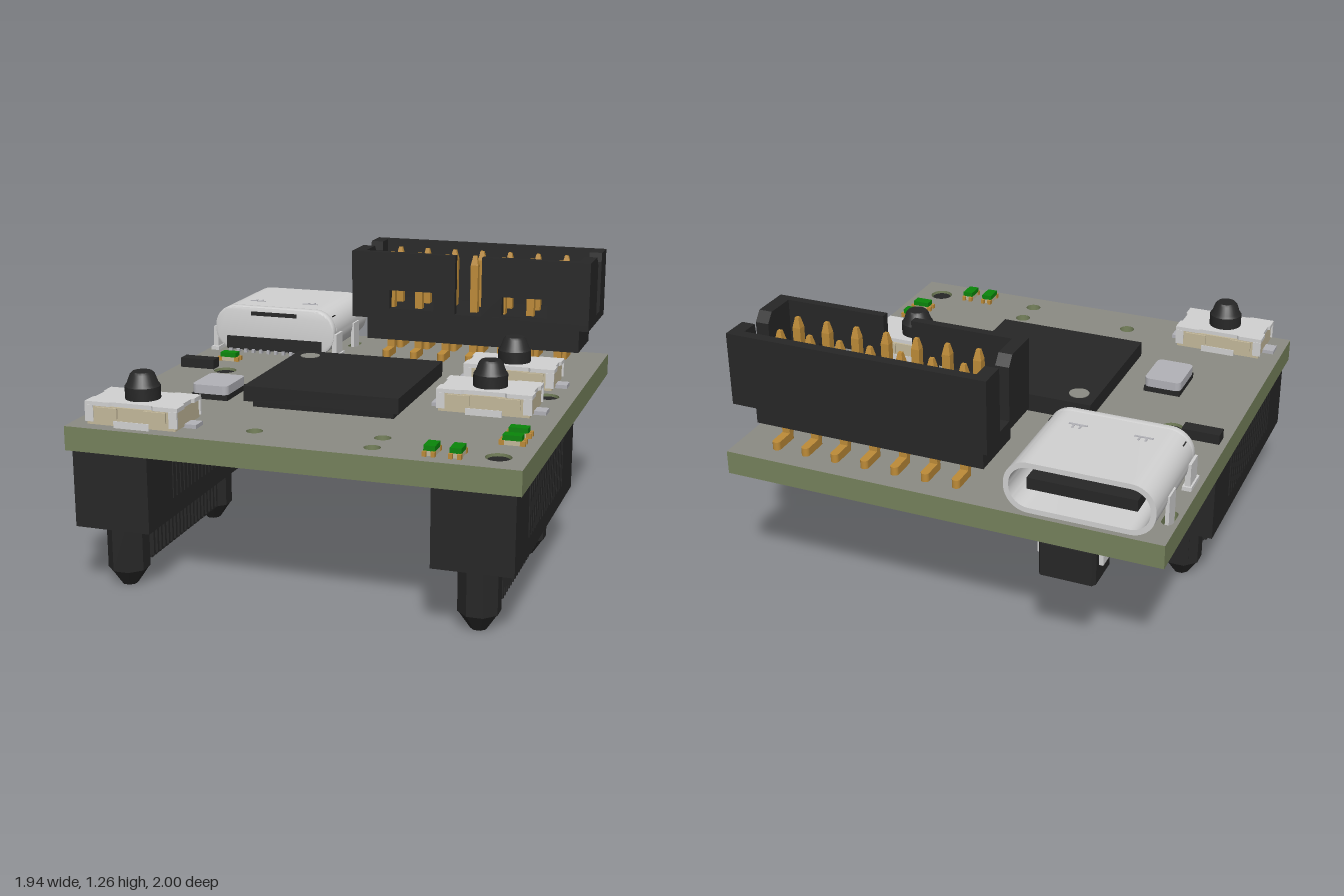
import * as THREE from 'three';
import { toCreasedNormals } from 'three/addons/utils/BufferGeometryUtils.js';

const mat = (name, color) => {
  const m = new THREE.MeshStandardMaterial({ color });
  m.name = name;
  return m;
};

export function createModel() {
  const M = {
    board: mat('boardGrey', 0x8c8c84), edge: mat('boardEdgeOlive', 0x76825c),
    black: mat('blackPlastic', 0x272727), metal: mat('lightMetal', 0xd2d2d2),
    gold: mat('gold', 0xbd8b38), beige: mat('beigePlastic', 0xc4b99b),
    green: mat('greenLens', 0x0a860a), grey: mat('leadGrey', 0xb2b2b8),
  };
  const root = new THREE.Group();
  const group = (name, parent = root, x = 0, y = 0, z = 0) => {
    const g = new THREE.Group();
    g.name = name;
    g.position.set(x, y, z);
    parent.add(g);
    return g;
  };
  const add = (p, name, geo, m) => {
    const o = new THREE.Mesh(geo, m);
    o.name = name;
    p.add(o);
    return o;
  };
  // box given by its limits on each axis
  const box = (p, name, m, x0, x1, y0, y1, z0, z1) => {
    const g = new THREE.BoxGeometry(x1 - x0, y1 - y0, z1 - z0);
    g.translate((x0 + x1) / 2, (y0 + y1) / 2, (z0 + z1) / 2);
    return add(p, name, g, m);
  };
  const poly = pts => new THREE.Shape(pts.map(([x, y]) => new THREE.Vector2(x, y)));
  const rect = (x0, x1, y0, y1) => poly([[x0, y0], [x1, y0], [x1, y1], [x0, y1]]);
  const round = (cx, cy, w, h, r) => {
    const s = new THREE.Shape(), a = w / 2 - r, b = h / 2 - r, q = Math.PI / 2;
    s.absarc(cx + a, cy + b, r, 0, q);
    s.absarc(cx - a, cy + b, r, q, 2 * q);
    s.absarc(cx - a, cy - b, r, 2 * q, 3 * q);
    s.absarc(cx + a, cy - b, r, 3 * q, 4 * q);
    s.closePath();
    return s;
  };
  const extrude = (shape, depth, holes = []) => {
    shape.holes.push(...holes);
    return new THREE.ExtrudeGeometry(shape, { depth, bevelEnabled: false, curveSegments: 8 });
  };
  // horizontal plate: shape y is -z
  const plate = (shape, y0, y1, holes) => extrude(shape, y1 - y0, holes).rotateX(-Math.PI / 2).translate(0, y0, 0);

  // circuit board with its drilled holes and slots
  const holes = [[-0.19, 0.82, 0.035], [0.34, 0.75, 0.035], [0.34, 0.89, 0.035],
    [-0.71, -0.09, 0.053], [0.845, -0.09, 0.053], [0.845, 0.86, 0.053], [-0.71, 0.86, 0.053]]
    .map(([x, z, r]) => round(x, -z, 2 * r, 2 * r, r));
  holes.push(round(-0.295, 0.8, 0.05, 0.11, 0.024), round(-0.925, 0.8, 0.05, 0.11, 0.024));
  add(root, 'circuitBoard', plate(rect(-0.97, 0.97, -1, 1), 0.625, 0.73, holes), [M.board, M.edge]);

  // board-to-board connectors underneath
  for (const s of [-1, 1]) {
    const c = group(s > 0 ? 'leftBoardConnector' : 'rightBoardConnector', root, s * 0.777);
    box(c, 'housing', M.black, -0.17, 0.17, 0.285, 0.625, -0.2, 0.98);
    box(c, 'blade', M.black, -0.05, 0.05, 0.1, 0.285, -0.13, 0.9);
    for (const z of [-0.06, 0.84]) {
      const post = new THREE.CylinderGeometry(0.09, 0.09, 0.21, 8).rotateY(Math.PI / 8);
      add(c, 'guidePost', post, M.black).position.set(0, 0.18, z);
      const tip = new THREE.CylinderGeometry(0.09, 0.035, 0.08, 8).rotateY(Math.PI / 8);
      add(c, 'guidePostTip', tip, M.black).position.set(0, 0.04, z);
      for (const g of c.children.slice(-2)) { g.geometry = g.geometry.toNonIndexed(); g.geometry.computeVertexNormals(); }
    }
    for (const z of [-0.09, 0.86]) { // locating pegs through the board
      const x = (s > 0 ? 0.845 : -0.71) - s * 0.777;
      add(c, 'locatingPeg', new THREE.CylinderGeometry(0.045, 0.045, 0.1, 20), M.black).position.set(x, 0.67, z);
    }
    for (let i = 0; i < 19; i++) {
      const z = 0.055 + i * 0.0375;
      for (const d of [-1, 1]) {
        const pin = box(c, 'contact', M.gold, -0.004, 0.004, 0.11, 0.285, z - 0.009, z + 0.009);
        pin.position.x = d * 0.052;
        const wall = box(c, 'contactDivider', M.black, -0.016, 0.016, 0.1, 0.285, z + 0.011, z + 0.0265);
        wall.position.x = d * 0.062;
        const rib = box(c, 'housingRib', M.black, -0.004, 0.004, 0.37, 0.62, z - 0.011, z + 0.011);
        rib.position.x = d * 0.171;
      }
      box(c, 'combTooth', M.black, -0.06, 0.06, 0.083, 0.11, z - 0.011, z + 0.011);
    }
  }

  // shrouded pin header
  const h = group('pinHeader');
  box(h, 'headerBase', M.black, -0.16, 0.89, 0.82, 0.95, -0.87, -0.59);
  const latches = [-0.025, 0.53];
  add(h, 'headerFloor', plate(rect(-0.215, 0.945, 0.52, 0.955), 0.94, 0.97,
    latches.map(x => rect(x, x + 0.22, 0.558, 0.576))), M.black);
  const front = poly([[-0.215, 0.96], [0.945, 0.96], [0.945, 1.263], [0.43, 1.263], [0.43, 0.98],
    [0.3, 0.98], [0.3, 1.263], [-0.215, 1.263]]);
  const windows = latches.map(x => rect(x, x + 0.22, 0.99, 1.08));
  add(h, 'headerFrontWall', extrude(front, 0.037, windows).translate(0, 0, -0.557), M.black);
  box(h, 'headerBackWall', M.black, -0.215, 0.945, 0.96, 1.263, -0.955, -0.91);
  const end = poly([[0.52, 0.96], [0.955, 0.96], [0.955, 1.263], [0.83, 1.263], [0.825, 1.22], [0.825, 0.98],
    [0.73, 0.98], [0.73, 1.22], [0.695, 1.263], [0.52, 1.263]]);
  for (const x of [-0.215, 0.885])
    add(h, 'headerEndWall', extrude(end.clone(), 0.06).rotateY(Math.PI / 2).translate(x, 0, 0), M.black);
  for (let i = 0; i < 7; i++) {
    const x = -0.055 + i * 0.139;
    for (const [z, d] of [[-0.81, -1], [-0.665, 1]]) {
      box(h, 'pin', M.gold, x - 0.018, x + 0.018, 0.77, 1.2, z - 0.018, z + 0.018);
      const tip = new THREE.CylinderGeometry(0.012, 0.0255, 0.045, 4, 1).rotateY(Math.PI / 4).toNonIndexed();
      tip.computeVertexNormals();
      add(h, 'pinTip', tip, M.gold).position.set(x, 1.2225, z);
      const foot = round(0, 0, 0.036, 0.135, 0.017);
      add(h, 'pinFoot', plate(foot, 0.735, 0.772).translate(x, 0, z + d * 0.045), M.gold);
    }
  }

  // rounded socket, opening to the back
  const u = group('portSocket', root, -0.61, 0.849, 0);
  const shell = extrude(round(0, 0, 0.63, 0.225, 0.105), 0.47, [round(0, 0, 0.585, 0.18, 0.085)]);
  add(u, 'shell', toCreasedNormals(shell.translate(0, 0, -0.985), 0.6), M.metal);
  const cap = new THREE.ExtrudeGeometry(round(0, 0, 0.61, 0.205, 0.095),
    { depth: 0.025, bevelThickness: 0.01, bevelSize: 0.01, bevelSegments: 2, curveSegments: 8 });
  add(u, 'rearCover', toCreasedNormals(cap.translate(0, 0, -0.51), 0.6), M.metal);
  box(u, 'tongue', M.black, -0.23, 0.23, -0.025, 0.025, -0.95, -0.5);
  box(u, 'innerWall', M.black, -0.29, 0.29, -0.08, 0.08, -0.57, -0.53);
  box(u, 'rearPinBlock', M.black, -0.25, 0.25, -0.105, -0.04, -0.49, -0.466);
  box(u, 'rearSlot', M.black, -0.12, 0.12, 0.07, 0.09, -0.48, -0.472);
  for (let i = 0; i < 12; i++)
    box(u, 'rearPin', M.grey, -0.235 + i * 0.04, -0.22 + i * 0.04, -0.118, -0.1, -0.48, -0.455);
  for (const s of [-1, 1]) {
    const leg = group('shellLegs', u, s * 0.315);
    box(leg, 'rearLeg', M.metal, -0.012, 0.012, -0.118, 0.0, -0.57, -0.48);
    box(leg, 'rearLegFoot', M.metal, -0.02, 0.02, -0.118, -0.1, -0.58, -0.465);
    box(leg, 'frontLeg', M.metal, -0.008, 0.008, -0.23, 0.0, -0.84, -0.76);
    box(u, 'springMark', M.grey, s * 0.14 - 0.04, s * 0.14 + 0.04, 0.11, 0.115, -0.625, -0.615);
    for (const d of [-0.015, 0.015])
      box(u, 'springSlit', M.grey, s * 0.14 + d - 0.004, s * 0.14 + d + 0.004, 0.11, 0.115, -0.65, -0.62);
  }

  // push buttons
  const knob = [[0, 0], [0.075, 0], [0.075, 0.06], [0.066, 0.072], [0.052, 0.11], [0.042, 0.12], [0, 0.12]]
    .map(([x, y]) => new THREE.Vector2(x, y));
  for (const [x, z] of [[0.65, -0.28], [0.65, 0.19], [-0.68, 0.84]]) {
    const b = group('pushButton', root, x, 0.73, z);
    box(b, 'buttonBody', M.beige, -0.2, 0.2, 0.008, 0.088, -0.12, 0.12);
    const top = poly([[-0.21, -0.12], [-0.1, -0.12], [-0.09, -0.11], [0.09, -0.11], [0.1, -0.12], [0.21, -0.12],
      [0.21, -0.05], [0.2, -0.04], [0.2, 0.04], [0.21, 0.05], [0.21, 0.12], [0.1, 0.12], [0.09, 0.11],
      [-0.09, 0.11], [-0.1, 0.12], [-0.21, 0.12], [-0.21, 0.05], [-0.2, 0.04], [-0.2, -0.04], [-0.21, -0.05]]);
    add(b, 'coverPlate', plate(top, 0.088, 0.106), M.metal);
    add(b, 'plunger', toCreasedNormals(new THREE.LatheGeometry(knob, 28), 0.5), M.black).position.y = 0.1;
    for (const s of [-1, 1]) {
      box(b, 'terminal', M.grey, s * 0.225 - 0.028, s * 0.225 + 0.028, 0.001, 0.018, -0.034, 0.034);
      box(b, 'frontSkirt', M.metal, -0.08, 0.08, 0.0, 0.03, s * 0.118 - 0.005, s * 0.118 + 0.005);
      for (const t of [-1, 1]) {
        box(b, 'coverClip', M.beige, t * 0.11 - 0.05, t * 0.11 + 0.05, 0.04, 0.085, s * 0.122 - 0.007, s * 0.122 + 0.007);
        box(b, 'coverCorner', M.metal, t * 0.19 - 0.019, t * 0.19 + 0.019, 0.02, 0.09, s * 0.118 - 0.005, s * 0.118 + 0.005);
      }
    }
  }

  // main chip, oscillator and small black part
  const chip = group('mainChip');
  box(chip, 'chipBody', M.black, -0.37, 0.33, 0.76, 0.828, -0.2, 0.5);
  box(chip, 'chipUnderside', M.black, -0.34, 0.3, 0.73, 0.76, -0.17, 0.47);
  add(chip, 'cornerDot', new THREE.CylinderGeometry(0.045, 0.045, 0.004, 24), M.board).position.set(-0.285, 0.829, -0.11);
  const osc = group('oscillator');
  box(osc, 'oscillatorBase', M.black, -0.65, -0.48, 0.73, 0.755, 0.21, 0.425);
  add(osc, 'oscillatorLid', plate(round(-0.565, -0.318, 0.17, 0.215, 0.025), 0.755, 0.795), M.grey);
  box(root, 'smallBlackPart', M.black, -0.94, -0.77, 0.73, 0.775, -0.155, -0.09);

  // indicator lights
  for (const [x, z, turn] of [[-0.77, -0.29, 0], [0.86, 0.555, 0], [0.86, 0.67, 0], [0.585, 0.89, 1], [0.69, 0.89, 1]]) {
    const l = group('indicatorLight', root, x, 0.73, z);
    l.rotation.y = turn * Math.PI / 2;
    box(l, 'lightBase', M.beige, -0.04, 0.04, 0, 0.02, -0.023, 0.023);
    box(l, 'lens', M.green, -0.04, 0.04, 0.02, 0.042, -0.024, 0.024);
    for (const s of [-1, 1]) for (const t of [-1, 1])
      box(l, 'lightContact', M.gold, s * 0.043 - 0.011, s * 0.043 + 0.011, 0, 0.021, t * 0.018 - 0.008, t * 0.018 + 0.008);
  }

  // leaded parts under the board
  const body = poly([[-0.122, -0.07], [-0.11, -0.085], [0.11, -0.085], [0.122, -0.07], [0.122, 0.07],
    [0.11, 0.085], [-0.11, 0.085], [-0.122, 0.07]]);
  for (const [x, z, y0, y1, w] of [[0.438, -0.72, 0.505, 0.602, 1.18], [-0.56, -0.59, 0.465, 0.615, 1.15],
    [-0.56, -0.88, 0.455, 0.605, 1.15]]) {
    const d = group('undersideDiode', root, x, 0, z);
    add(d, 'diodeBody', plate(body.clone(), y0, y1).scale(1, 1, w), M.black);
    const ym = (y0 + y1) / 2;
    const lead = x > 0 ? 0.235 : 0.18;
    for (const s of [-1, 1]) {
      const limits = (a, b) => [Math.min(s * a, s * b), Math.max(s * a, s * b)];
      box(d, 'leadFoot', M.metal, ...limits(lead - 0.06, lead), 0.602, 0.624, -0.05, 0.05);
      box(d, 'leadBend', M.metal, ...limits(lead - 0.06, lead - 0.04), ym, 0.62, -0.05, 0.05);
      box(d, 'leadRoot', M.metal, ...limits(0.11, lead - 0.04), ym, ym + 0.02, -0.05, 0.05);
    }
  }
  box(root, 'undersideTab', M.grey, -0.52, -0.385, 0.575, 0.625, 0.75, 0.85);
  return root;
}
